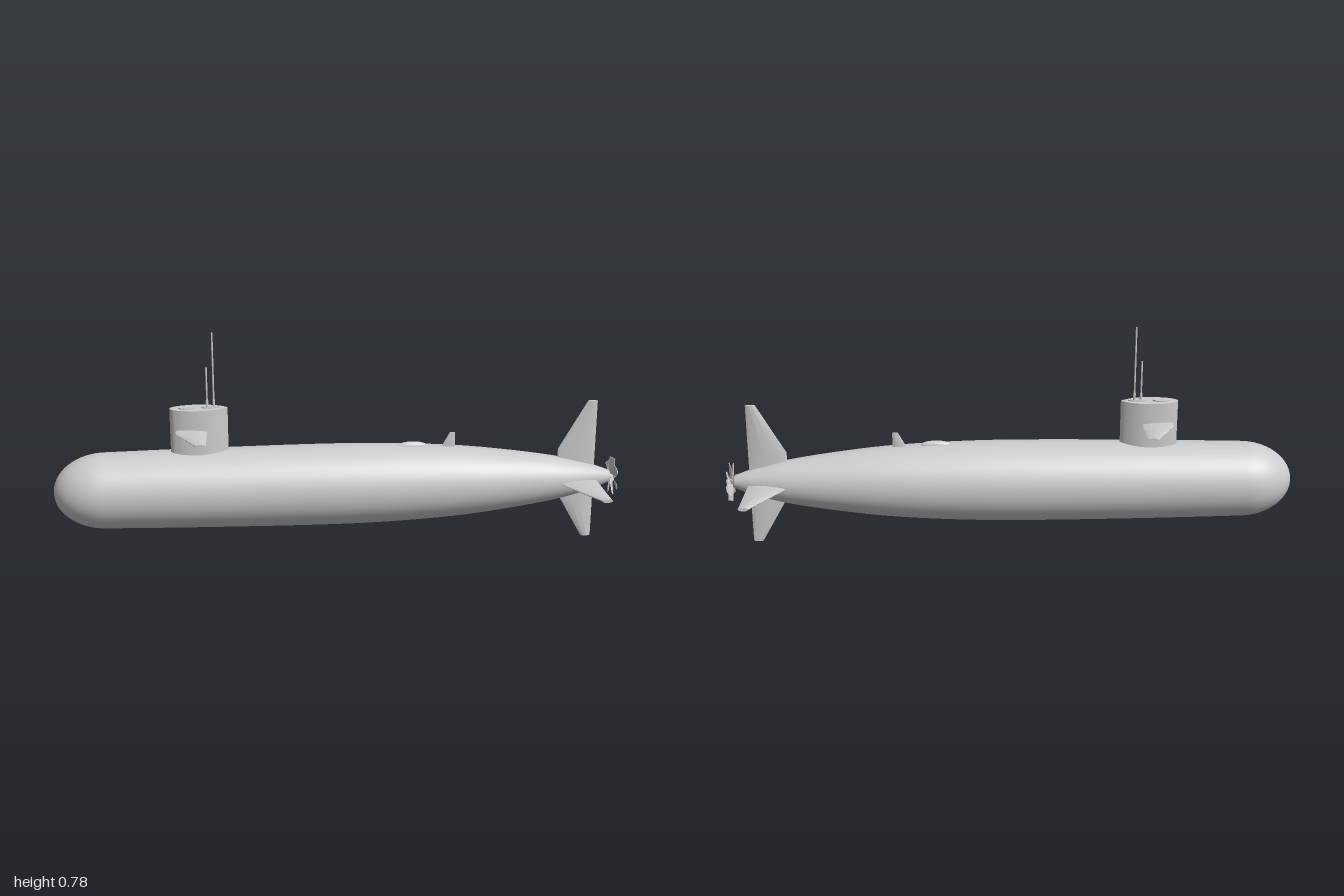
import * as THREE from 'three';
import { toCreasedNormals } from 'three/addons/utils/BufferGeometryUtils.js';

const AXIS_Y = 0.231;
const material = new THREE.MeshStandardMaterial({ color: 0xcccccc });

function add(parent, name, geometry, x = 0, y = 0, z = 0) {
  const mesh = new THREE.Mesh(geometry, material);
  mesh.name = name;
  mesh.position.set(x, y, z);
  parent.add(mesh);
  return mesh;
}

// Streamlined blade rising along +y; stations are [height, leadX, trailX, halfThickness]
function foil(stations, n = 32) {
  const pos = [], idx = [];
  for (const [y, x0, x1, t] of stations) {
    for (let k = 0; k < n; k++) {
      const a = (k / n) * Math.PI * 2, s = Math.sin(a), c = Math.cos(a);
      const w = Math.sign(s) * Math.pow(Math.abs(s), c > 0 ? 1 : 1.7);
      pos.push(x0 + (x1 - x0) * (1 - c) / 2, y, -t * w);
    }
  }
  const top = (stations.length - 1) * n;
  for (let s = 0; s < top; s += n) {
    for (let k = 0; k < n; k++) {
      const a = s + k, b = s + (k + 1) % n;
      idx.push(a, a + n, b, b, a + n, b + n);
    }
  }
  for (let k = 1; k < n - 1; k++) {
    idx.push(0, k, k + 1, top, top + k + 1, top + k);
  }
  const g = new THREE.BufferGeometry();
  g.setAttribute('position', new THREE.Float32BufferAttribute(pos, 3));
  g.setIndex(idx);
  return toCreasedNormals(g, 0.6);
}

// Body of revolution along x from [x, radius] points
function revolve(points, segments) {
  const g = new THREE.LatheGeometry(points.map(([x, r]) => new THREE.Vector2(r, x)), segments);
  return g.rotateZ(-Math.PI / 2);
}

// Twisted propeller blade that widens toward its tip
function bladeGeometry() {
  const g = new THREE.BoxGeometry(1, 1, 1, 1, 8, 6), p = g.attributes.position;
  for (let i = 0; i < p.count; i++) {
    const v = p.getY(i) + 0.5, u = p.getZ(i);
    const r = 0.006 + 0.061 * v;
    const z = u * (0.012 + 0.022 * v) + 0.004 * Math.sin(v * Math.PI);
    const x = p.getX(i) * 0.002 + u * (0.014 - 0.004 * v) + 0.003 * (1 - 4 * u * u);
    p.setXYZ(i, x, r, z);
  }
  return toCreasedNormals(g, 0.6);
}

export function createModel() {
  const model = new THREE.Group();
  model.name = 'submarine';

  // Hull: rounded nose, gently swelling body, tapering stern
  const profile = [];
  for (let i = 0; i <= 16; i++) {
    const a = (i / 16) * Math.PI / 2;
    profile.push([-0.82 - 0.18 * Math.cos(a), 0.133 * Math.sin(a)]);
  }
  const body = new THREE.SplineCurve([
    [-0.82, 0.133], [-0.5, 0.139], [-0.1, 0.143], [0.15, 0.14], [0.4, 0.127],
    [0.6, 0.105], [0.78, 0.077], [0.9, 0.047], [0.972, 0.021],
  ].map(([x, r]) => new THREE.Vector2(x, r)));
  for (const p of body.getPoints(40).slice(1)) profile.push([p.x, p.y]);
  profile.push([0.976, 0]);
  add(model, 'hull', revolve(profile, 64), 0, AXIS_Y);

  // Sail with its top fittings and masts
  const sail = new THREE.Group();
  sail.name = 'sail';
  model.add(sail);
  add(sail, 'sailTower', foil([[0.3, -0.59, -0.39, 0.041], [0.523, -0.59, -0.39, 0.041]], 48));
  add(sail, 'bridgeHatch', foil([[0.515, -0.56, -0.5, 0.019], [0.527, -0.56, -0.5, 0.019]]));
  add(sail, 'mastFairing', foil([[0.515, -0.48, -0.415, 0.012], [0.527, -0.48, -0.415, 0.012]]));
  for (const [x, top] of [[-0.437, 0.787], [-0.46, 0.665]]) {
    add(sail, 'mast', new THREE.CylinderGeometry(0.003, 0.003, top - 0.5, 12), x, (top + 0.5) / 2);
    add(sail, 'mastBase', new THREE.CylinderGeometry(0.0045, 0.0045, 0.05, 12), x, 0.525);
  }

  // Horizontal planes on the sail
  const sailPlane = foil([
    [0, -0.572, -0.463, 0.006], [0.06, -0.57, -0.463, 0.006], [0.2, -0.5, -0.465, 0.006],
  ]);
  for (const side of [1, -1]) {
    add(sail, 'sailPlane', sailPlane, 0, 0.448).rotation.x = side * Math.PI / 2;
  }

  // Cross-shaped tail fins
  const tailFin = foil([
    [0, 0.78, 0.915, 0.007], [0.08, 0.78, 0.915, 0.007], [0.255, 0.88, 0.915, 0.007],
  ]);
  for (let i = 0; i < 4; i++) {
    const vertical = i % 2 === 0;
    const fin = add(model, vertical ? 'rudder' : 'sternPlane', tailFin, 0, vertical ? 0.259 : 0.23);
    fin.rotation.x = i * Math.PI / 2;
  }

  // Low deck hump and small dorsal fin
  const hump = new THREE.SphereGeometry(1, 32, 16).scale(0.054, 0.016, 0.015);
  add(model, 'deckHump', hump, 0.255, 0.364);
  add(model, 'dorsalFin', foil([[0.33, 0.35, 0.408, 0.004], [0.36, 0.36, 0.408, 0.004],
    [0.41, 0.388, 0.408, 0.003]]));

  // Seven-bladed propeller on a rounded hub
  const propeller = new THREE.Group();
  propeller.name = 'propeller';
  propeller.position.set(0.981, AXIS_Y, 0);
  model.add(propeller);
  add(propeller, 'hub', revolve([[-0.02, 0.011], [0.008, 0.011], [0.014, 0.009], [0.018, 0.005], [0.019, 0]], 24));
  const blade = bladeGeometry();
  for (let i = 0; i < 7; i++) {
    add(propeller, 'propellerBlade', blade).rotation.x = (i / 7) * Math.PI * 2;
  }
  return model;
}
